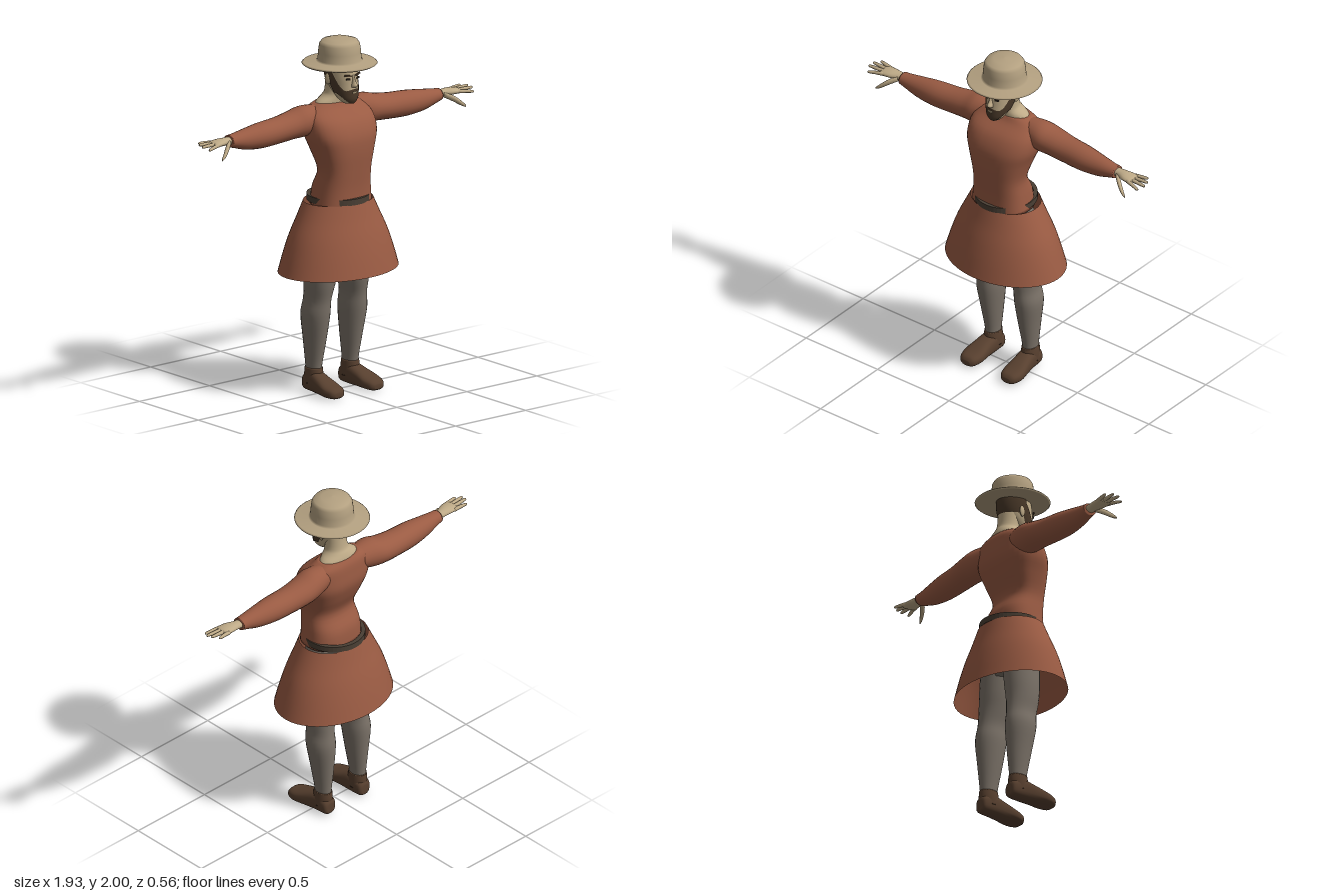
import * as THREE from 'three';

const mat = (name, color, side = THREE.FrontSide) => {
  const m = new THREE.MeshStandardMaterial({ color, side });
  m.name = name;
  return m;
};

// Smooth interpolation of a section list; u runs over the section indices.
function sectionAt(list, u) {
  const i = Math.min(Math.floor(u), list.length - 2), t = u - i;
  const p = (k) => list[Math.max(0, Math.min(list.length - 1, k))];
  return list[i].map((b, k) => {
    const a = p(i - 1)[k], c = p(i + 1)[k], d = p(i + 2)[k];
    return b + 0.5 * t * (c - a + t * (2 * a - 5 * b + 4 * c - d + t * (3 * (b - c) + d - a)));
  });
}

const sgnPow = (v, e) => Math.sign(v) * Math.pow(Math.abs(v), e);

// Loft of (super)ellipses. Section: [along, centreA, centreB, radiusA, radiusB]
// Axis y: A = x, B = z.  Axis x: A = z, B = y.  Axis z: A = y, B = x.
function loft(axis, sections, { segs = 24, sub = 4, n = 2, caps = true } = {}) {
  const pos = [], idx = [];
  const put = (t, a, b) =>
    pos.push(...(axis === 'y' ? [a, t, b] : axis === 'x' ? [t, b, a] : [b, a, t]));
  const rows = (sections.length - 1) * sub;
  for (let r = 0; r <= rows; r++) {
    const [t, ca, cb, ra, rb] = sectionAt(sections, r / sub);
    for (let s = 0; s < segs; s++) {
      const th = (s / segs) * Math.PI * 2;
      put(t, ca + ra * sgnPow(Math.cos(th), 2 / n), cb + rb * sgnPow(Math.sin(th), 2 / n));
    }
  }
  for (let r = 0; r < rows; r++)
    for (let s = 0; s < segs; s++) {
      const a = r * segs + s, b = r * segs + ((s + 1) % segs), c = a + segs, d = b + segs;
      idx.push(a, c, b, b, c, d);
    }
  if (caps) {
    const lo = pos.length / 3, hi = lo + 1, top = rows * segs;
    put(...sections[0].slice(0, 3));
    put(...sections[sections.length - 1].slice(0, 3));
    for (let s = 0; s < segs; s++) {
      const q = (s + 1) % segs;
      idx.push(lo, s, q, hi, top + q, top + s);
    }
  }
  return finish(pos, idx);
}

function finish(pos, idx) {
  const g = new THREE.BufferGeometry();
  g.setAttribute('position', new THREE.Float32BufferAttribute(pos, 3));
  g.setIndex(idx);
  g.computeVertexNormals();
  return g;
}

// Mirrored copy across x = 0 with the winding restored.
function mirrored(geo) {
  const p = Array.from(geo.attributes.position.array, (v, i) => (i % 3 ? v : -v));
  const src = geo.index.array, idx = [];
  for (let i = 0; i < src.length; i += 3) idx.push(src[i], src[i + 2], src[i + 1]);
  return finish(p, idx);
}

const HEAD = [
  [1.645, 0, 0.085, 0.028, 0.035], [1.67, 0, 0.075, 0.05, 0.058], [1.71, 0, 0.055, 0.066, 0.079],
  [1.75, 0, 0.037, 0.075, 0.096], [1.80, 0, 0.028, 0.08, 0.104], [1.86, 0, 0.022, 0.08, 0.1],
  [1.90, 0, 0.015, 0.065, 0.08],
];

function headAt(y) {
  let i = 0;
  while (i < HEAD.length - 2 && y > HEAD[i + 1][0]) i++;
  let lo = i, hi = i + 1;
  for (let k = 0; k < 20; k++) {
    const m = (lo + hi) / 2;
    if (sectionAt(HEAD, m)[0] < y) lo = m; else hi = m;
  }
  return sectionAt(HEAD, lo);
}

// Patch lying just above the head surface between two height rules.
function headPatch(th0, th1, yLo, yHi, off, cols = 28, rows = 8) {
  const pos = [], idx = [];
  for (let r = 0; r <= rows; r++)
    for (let c = 0; c <= cols; c++) {
      const th = th0 + ((th1 - th0) * c) / cols;
      const y = yLo(th) + ((yHi(th) - yLo(th)) * r) / rows;
      const [, , cz, rx, rz] = headAt(y);
      pos.push((rx + off) * Math.cos(th), y, cz + (rz + off) * Math.sin(th));
    }
  for (let r = 0; r < rows; r++)
    for (let c = 0; c < cols; c++) {
      const a = r * (cols + 1) + c, d = a + cols + 1;
      idx.push(a, d, a + 1, a + 1, d, d + 1);
    }
  return finish(pos, idx);
}

export function createModel() {
  const root = new THREE.Group();
  root.name = 'standingMan';
  const D = THREE.DoubleSide;
  const straw = mat('straw', 0xb3a080, D), skin = mat('skin', 0xbfab88);
  const tunic = mat('tunic cloth', 0x9a5b43, D), wool = mat('grey wool', 0x7b7268);
  const leather = mat('shoe leather', 0x58402f), hair = mat('dark hair', 0x4a3929, D);
  const beltMat = mat('belt leather', 0x4a3f34), eyeMat = mat('eye', 0x2a231d);
  const add = (name, geo, m) => {
    const mesh = new THREE.Mesh(geo, m);
    mesh.name = name;
    root.add(mesh);
    return mesh;
  };
  const pair = (name, geo, m) => {
    add(name + 'Left', geo, m);
    add(name + 'Right', mirrored(geo), m);
  };
  const box = (name, w, h, d, x, y, z, m, rz = 0) => {
    const b = add(name, new THREE.BoxGeometry(w, h, d), m);
    b.position.set(x, y, z);
    b.rotation.set(0, x * 9, rz);
  };

  // Hat
  const profile = [[0, 1.856], [0.1, 1.855], [0.2, 1.851], [0.208, 1.857], [0.2, 1.864], [0.13, 1.869],
    [0.121, 1.878], [0.118, 1.92], [0.112, 1.965], [0.1, 1.983], [0.06, 1.996], [0, 2.0]];
  const hat = add('hat', new THREE.LatheGeometry(profile.map(([x, y]) => new THREE.Vector2(x, y)), 40), straw);
  hat.position.z = 0.012;

  // Head, neck and hair
  add('head', loft('y', HEAD, { segs: 32 }), skin);
  add('neck', loft('y', [[1.59, 0, -0.04, 0.16, 0.07], [1.64, 0, -0.035, 0.12, 0.068],
    [1.67, 0, -0.028, 0.08, 0.065], [1.70, 0, -0.02, 0.065, 0.06], [1.78, 0, -0.015, 0.062, 0.058]]), skin);
  add('hair', headPatch(Math.PI - 0.15, 2 * Math.PI + 0.15, () => 1.768, () => 1.87, 0.006), hair);
  add('beard', headPatch(-0.1, Math.PI + 0.1, (th) => 1.646 + 0.06 * Math.cos(th) ** 4,
    (th) => 1.732 + 0.11 * Math.cos(th) ** 8 - 0.012 * Math.sin(2 * th) ** 2, 0.006), hair);

  // Face details
  add('nose', loft('y', [[1.742, 0, 0.135, 0.016, 0.016], [1.754, 0, 0.138, 0.016, 0.024],
    [1.775, 0, 0.13, 0.01, 0.02], [1.81, 0, 0.122, 0.008, 0.014]], { segs: 10 }), skin);
  box('lips', 0.03, 0.007, 0.006, 0, 1.713, 0.142, skin);
  for (const s of [-1, 1]) {
    box('eyebrow', 0.042, 0.009, 0.008, s * 0.034, 1.808, 0.125, hair, s * 0.15);
    box('eye', 0.024, 0.009, 0.007, s * 0.034, 1.788, 0.125, eyeMat);
    const ear = add('ear', new THREE.SphereGeometry(1, 12, 10), skin);
    ear.scale.set(0.009, 0.032, 0.02);
    ear.position.set(s * 0.084, 1.778, 0.012);
    ear.rotation.y = s * -0.3;
  }

  // Tunic body
  add('torso', loft('y', [[1.07, 0, 0.022, 0.175, 0.132], [1.17, 0, 0.027, 0.163, 0.129],
    [1.27, 0, 0.052, 0.154, 0.112], [1.38, 0, 0.035, 0.182, 0.137], [1.47, 0, 0.017, 0.212, 0.148],
    [1.55, 0, -0.002, 0.212, 0.127], [1.605, 0, -0.033, 0.185, 0.088], [1.637, 0, -0.036, 0.125, 0.068]],
  { segs: 36, n: 2.6 }), tunic);

  // Sleeves
  pair('sleeve', loft('x', [[0.12, -0.045, 1.56, 0.065, 0.068], [0.22, -0.046, 1.55, 0.086, 0.085],
    [0.3, -0.052, 1.538, 0.086, 0.077], [0.4, -0.05, 1.527, 0.078, 0.073], [0.52, -0.045, 1.522, 0.073, 0.071],
    [0.63, -0.041, 1.521, 0.058, 0.059], [0.71, -0.038, 1.527, 0.045, 0.042],
    [0.75, -0.038, 1.531, 0.041, 0.034]]), tunic);

  // Hands: palm, four fingers and a thumb
  pair('palm', loft('x', [[0.72, -0.038, 1.53, 0.03, 0.024], [0.77, -0.037, 1.535, 0.03, 0.021],
    [0.82, -0.03, 1.538, 0.042, 0.02], [0.865, -0.029, 1.537, 0.046, 0.015],
    [0.88, -0.03, 1.536, 0.038, 0.008]], { segs: 16 }), skin);
  const tips = [[0.945, 0.026, 1.527], [0.965, -0.008, 1.54], [0.96, -0.04, 1.545], [0.935, -0.075, 1.543]];
  tips.forEach(([x, z, y], i) => {
    const z0 = 0.005 - i * 0.023, mx = (0.85 + x) / 2;
    pair('finger' + (i + 1), loft('x', [[0.85, z0, 1.537, 0.012, 0.011],
      [mx, (z0 + z) / 2, (1.539 + y) / 2, 0.011, 0.01], [x - 0.008, z, y, 0.008, 0.008],
      [x, z, y, 0.003, 0.003]], { segs: 8, sub: 2 }), skin);
  });
  pair('thumb', loft('x', [[0.765, -0.015, 1.53, 0.015, 0.015], [0.805, 0.016, 1.51, 0.016, 0.018],
    [0.845, 0.04, 1.48, 0.011, 0.014], [0.87, 0.05, 1.462, 0.004, 0.006]], { segs: 10, sub: 3 }), skin);

  // Belt: an oval band that the tunic bulges through at the hips
  const band = new THREE.Shape().absellipse(0, 0, 0.174, 0.174, 0, Math.PI * 2);
  band.holes.push(new THREE.Path().absellipse(0, 0, 0.152, 0.15, 0, Math.PI * 2));
  const belt = new THREE.ExtrudeGeometry(band, { depth: 0.034, bevelEnabled: false, curveSegments: 24 });
  belt.rotateX(-Math.PI / 2);
  belt.translate(0, 1.082, 0);
  add('belt', belt, beltMat);

  // Open oval skirt
  add('skirt', loft('y', [[0.69, 0, 0, 0.365, 0.278], [0.8, 0, 0, 0.332, 0.253], [0.9, 0, 0, 0.296, 0.226],
    [1.0, 0, 0, 0.248, 0.194], [1.085, 0, 0, 0.206, 0.17]], { segs: 48, caps: false }), tunic);

  // Hips and legs
  add('hips', loft('y', [[0.8, 0, -0.01, 0.1, 0.07], [0.87, 0, -0.01, 0.17, 0.11],
    [0.98, 0, 0, 0.18, 0.125], [1.08, 0, 0.01, 0.165, 0.12]]), wool);
  pair('leg', loft('y', [[0.08, 0.13, -0.053, 0.038, 0.05], [0.15, 0.13, -0.053, 0.041, 0.053],
    [0.3, 0.13, -0.045, 0.058, 0.075], [0.44, 0.132, -0.037, 0.073, 0.093], [0.53, 0.127, -0.027, 0.066, 0.092],
    [0.62, 0.12, -0.015, 0.078, 0.098], [0.72, 0.11, -0.01, 0.088, 0.105],
    [0.88, 0.095, -0.005, 0.09, 0.11]]), wool);

  // Shoes with ankle cuffs
  pair('shoe', loft('z', [[-0.116, 0.045, 0.13, 0.028, 0.025], [-0.1, 0.052, 0.13, 0.048, 0.043],
    [-0.03, 0.06, 0.131, 0.06, 0.049], [0.04, 0.05, 0.137, 0.05, 0.056], [0.11, 0.037, 0.141, 0.037, 0.064],
    [0.16, 0.03, 0.141, 0.029, 0.05], [0.178, 0.024, 0.141, 0.014, 0.026]], { n: 2.6 }), leather);
  pair('ankleCuff', loft('y', [[0.05, 0.13, -0.05, 0.048, 0.06], [0.1, 0.13, -0.052, 0.047, 0.06],
    [0.138, 0.13, -0.053, 0.044, 0.056]]), leather);

  return root;
}
